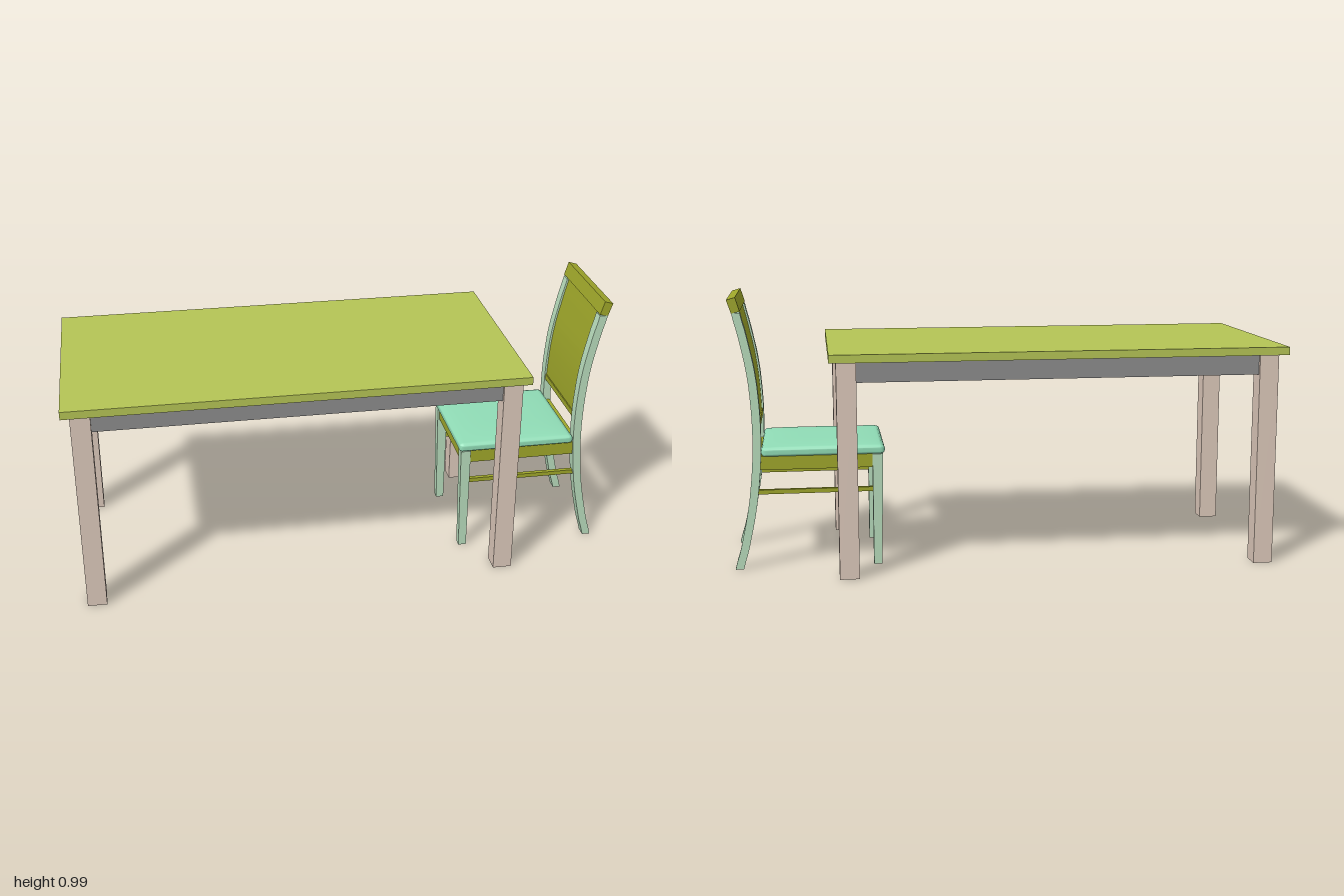
import * as THREE from 'three';
import { toCreasedNormals } from 'three/addons/utils/BufferGeometryUtils.js';

const mat = (color) => new THREE.MeshStandardMaterial({ color });
const topMat = mat(0xb4c455), tableLegMat = mat(0xdcc8ba), apronMat = mat(0x8c8c8c);
const frameMat = mat(0xb8dcbc), railMat = mat(0x9ea62a), seatMat = mat(0x90dcb6);

function add(group, name, geometry, material) {
  const mesh = new THREE.Mesh(geometry, material);
  mesh.name = name;
  group.add(mesh);
  return mesh;
}

// Box given by its lower and upper corners
function box(group, name, material, [x0, y0, z0], [x1, y1, z1]) {
  const g = new THREE.BoxGeometry(x1 - x0, y1 - y0, z1 - z0);
  g.translate((x0 + x1) / 2, (y0 + y1) / 2, (z0 + z1) / 2);
  return add(group, name, g, material);
}

// Front edge of the curved chair back: x and y
const backCurve = new THREE.SplineCurve([
  [0.963, 0], [0.936, 0.1], [0.915, 0.2], [0.900, 0.3], [0.891, 0.4], [0.888, 0.5],
  [0.891, 0.6], [0.900, 0.7], [0.917, 0.8], [0.947, 0.93], [0.963, 0.99],
].map(([x, y]) => new THREE.Vector2(x, y)));
const curvePoints = backCurve.getPoints(200);
const edgeX = (y) => curvePoints.reduce((a, p) => (Math.abs(p.y - y) < Math.abs(a.y - y) ? p : a)).x;

// Slab that follows the back curve from y0 to y1, between depths d0 and d1 behind its front edge
function curvedSlab(group, name, material, y0, y1, d0, d1, z0, z1, steps) {
  const front = [], rear = [];
  for (let i = 0; i <= steps; i++) {
    const y = y0 + ((y1 - y0) * i) / steps;
    front.push(new THREE.Vector2(edgeX(y) + d0, y));
    rear.unshift(new THREE.Vector2(edgeX(y) + d1, y));
  }
  const shape = new THREE.Shape([...rear, ...front]);
  const g = new THREE.ExtrudeGeometry(shape, { depth: z1 - z0, bevelEnabled: false });
  g.translate(0, 0, z0);
  return add(group, name, toCreasedNormals(g, 0.5), material);
}

// Upholstered seat: a subdivided box with rounded edges and a crowned top
function cushion(sx, sy, sz, r, crown) {
  const g = new THREE.BoxGeometry(2, 2, 2, 28, 8, 28);
  const p = g.attributes.position, half = new THREE.Vector3(sx / 2, sy / 2, sz / 2);
  const inner = half.clone().subScalar(r), v = new THREE.Vector3(), c = new THREE.Vector3();
  const ease = (t) => Math.sign(t) * (1 - (1 - Math.abs(t)) ** 2);
  for (let i = 0; i < p.count; i++) {
    v.fromBufferAttribute(p, i);
    const u = ease(v.x), w = ease(v.z), up = v.y;
    v.set(u, v.y, w).multiply(half);
    c.copy(v).clamp(inner.clone().negate(), inner);
    v.sub(c).setLength(r).add(c);
    if (up > 0) v.y += crown * up * (1 - u ** 4) * (1 - w ** 4);
    p.setXYZ(i, v.x, v.y, v.z);
  }
  return toCreasedNormals(g, 0.8);
}

function createTable() {
  const table = new THREE.Group();
  table.name = 'table';
  box(table, 'tableTop', topMat, [-1, 0.777, -0.41], [0.645, 0.806, 0.41]);
  for (const z of [-0.383, 0.313])
    for (const x of [-0.97, 0.55])
      box(table, 'tableLeg', tableLegMat, [x, 0, z], [x + 0.07, 0.777, z + 0.07]);
  // Aprons between the legs, set back a little from their outer faces
  for (const z of [-0.371, 0.346])
    box(table, 'longApron', apronMat, [-0.9, 0.703, z], [0.55, 0.777, z + 0.025]);
  for (const x of [-0.958, 0.583])
    box(table, 'shortApron', apronMat, [x, 0.703, -0.313], [x + 0.025, 0.777, 0.313]);
  return table;
}

function createChair() {
  const chair = new THREE.Group();
  chair.name = 'chair';
  chair.position.z = 0.003;

  for (const s of [-1, 1]) {
    const span = (a, b) => (s > 0 ? [a, b] : [-b, -a]);
    const [l0, l1] = span(0.167, 0.207);
    curvedSlab(chair, 'backLeg', frameMat, 0, 0.935, 0, 0.03, l0, l1, 32);
    // Front leg, tapering towards the foot
    const leg = new THREE.BoxGeometry(0.038, 0.415, 0.038);
    const p = leg.attributes.position;
    for (let i = 0; i < p.count; i++)
      if (p.getY(i) < 0) p.setXYZ(i, p.getX(i) > 0 ? 0.019 : -0.011, p.getY(i), p.getZ(i) * 0.8);
    leg.computeVertexNormals();
    leg.translate(0.471, 0.2075, s * 0.186);
    add(chair, 'frontLeg', leg, frameMat);

    const [r0, r1] = span(0.175, 0.2);
    box(chair, 'sideRail', railMat, [0.49, 0.366, r0], [0.895, 0.417, r1]);
    const [t0, t1] = span(0.179, 0.195);
    box(chair, 'sideStretcher', railMat, [0.485, 0.275, t0], [0.908, 0.291, t1]);
  }
  box(chair, 'frontRail', railMat, [0.459, 0.366, -0.168], [0.484, 0.417, 0.168]);
  box(chair, 'backRail', railMat, [0.892, 0.366, -0.167], [0.916, 0.417, 0.167]);

  const seat = add(chair, 'seat', cushion(0.445, 0.032, 0.424, 0.015, 0.009), seatMat);
  seat.position.set(0.667, 0.431, 0);

  // Backrest: curved panel with a rail below and a full-width rail on top
  curvedSlab(chair, 'backPanel', railMat, 0.53, 0.935, 0.007, 0.021, -0.167, 0.167, 18);
  curvedSlab(chair, 'lowerBackRail', railMat, 0.51, 0.531, 0.003, 0.027, -0.167, 0.167, 2);
  // Top rail tilted with the curve, its upper face square to it
  const rail = new THREE.Shape([[0.978, 0.933], [0.994, 0.981], [0.963, 0.99], [0.948, 0.94]]
    .map(([x, y]) => new THREE.Vector2(x, y)));
  const railGeometry = new THREE.ExtrudeGeometry(rail, { depth: 0.414, bevelEnabled: false });
  railGeometry.translate(0, 0, -0.207);
  add(chair, 'topRail', railGeometry, railMat);
  return chair;
}

export function createModel() {
  const model = new THREE.Group();
  model.name = 'tableAndChair';
  model.add(createTable(), createChair());
  return model;
}
